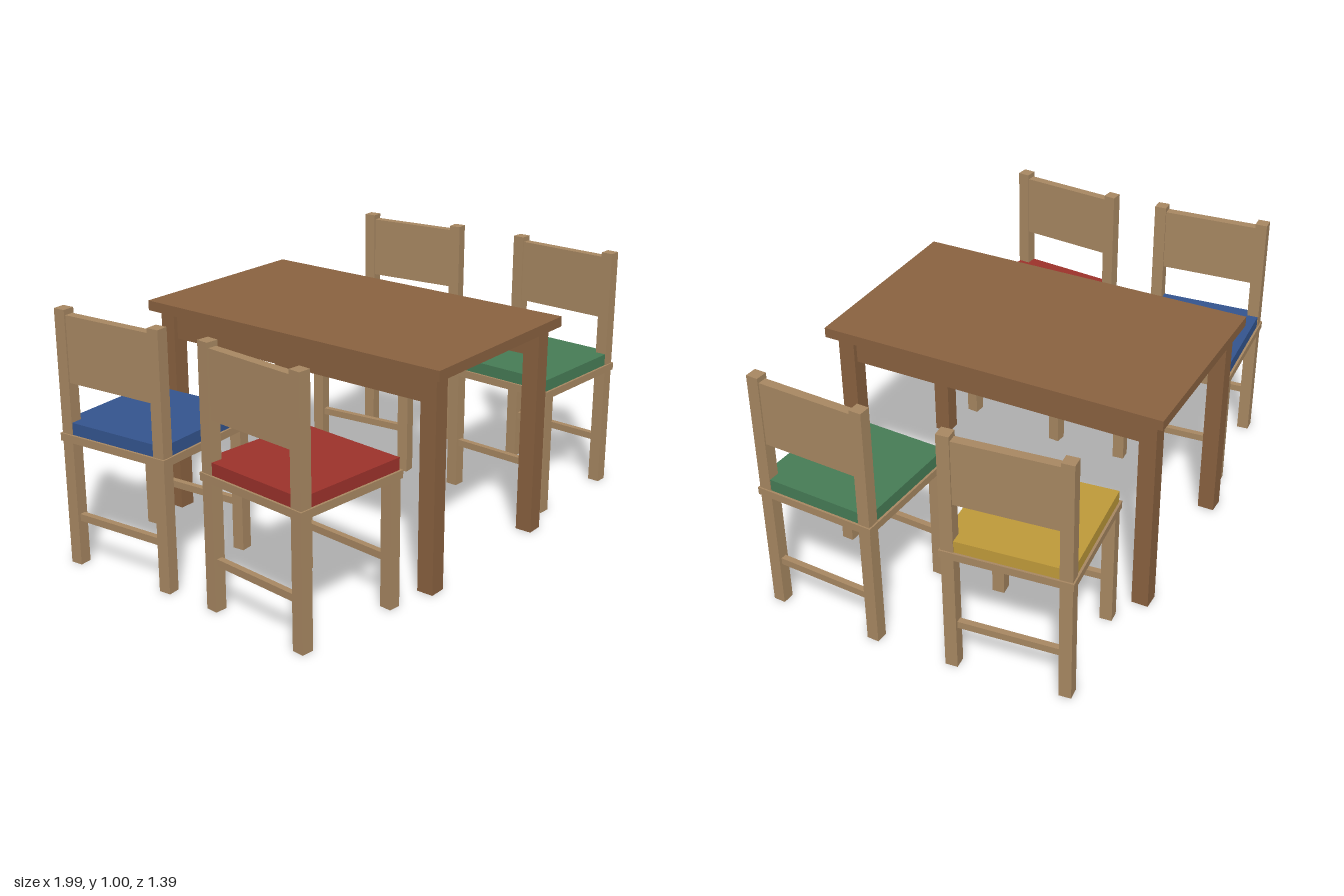
import * as THREE from 'three';

const mat = (name, color) => {
  const m = new THREE.MeshStandardMaterial({ color });
  m.name = name;
  return m;
};

// Box given by its size, centre x and z, and bottom and top heights
function box(parent, name, material, w, d, y0, y1, x = 0, z = 0) {
  const mesh = new THREE.Mesh(new THREE.BoxGeometry(w, y1 - y0, d), material);
  mesh.name = name;
  mesh.position.set(x, (y0 + y1) / 2, z);
  parent.add(mesh);
}

function createTable(wood) {
  const table = new THREE.Group();
  table.name = 'table';
  box(table, 'tableTop', wood, 0.81, 1.39, 0.835, 0.875);
  for (const sx of [-1, 1]) {
    for (const sz of [-1, 1]) {
      box(table, 'tableLeg', wood, 0.067, 0.067, 0, 0.835, sx * 0.337, sz * 0.627);
    }
    // Long side rail, a little below the top
    box(table, 'tableRail', wood, 0.03, 1.2, 0.725, 0.815, sx * 0.337);
  }
  return table;
}

// Chair facing local +x, backrest at -x
function createChair(wood, fabric) {
  const chair = new THREE.Group();
  const leg = 0.048, off = 0.217, span = 2 * off - leg;
  for (const sz of [-1, 1]) {
    box(chair, 'backPost', wood, leg, leg, 0, 1, -off, sz * off);
    box(chair, 'frontLeg', wood, leg, leg, 0, 0.5, off, sz * off);
  }
  for (const sx of [-1, 1]) {
    box(chair, 'rung', wood, 0.024, span, 0.177, 0.205, sx * off);
  }
  box(chair, 'seat', wood, 0.494, 0.494, 0.495, 0.525);
  box(chair, 'cushion', fabric, 0.476, 0.476, 0.525, 0.572);
  box(chair, 'backrest', wood, 0.036, span, 0.725, 0.98, -off);
  return chair;
}

export function createModel() {
  const model = new THREE.Group();
  model.name = 'diningSet';
  const darkWood = mat('dark wood', 0x8a6240);
  const lightWood = mat('light wood', 0xa88862);

  const table = createTable(darkWood);
  table.position.x = -0.008;
  model.add(table);

  // Cushion colour, position and turn of each chair
  const chairs = [
    ['red', 0x9c322b, -0.729, 0.347, -5.5],
    ['blue', 0x34558f, -0.731, -0.353, 4.4],
    ['green', 0x477c56, 0.735, 0.369, 177],
    ['yellow', 0xbf9a3a, 0.712, -0.352, 185.7],
  ];
  for (const [name, color, x, z, degrees] of chairs) {
    const chair = createChair(lightWood, mat(`${name} fabric`, color));
    chair.name = `${name}Chair`;
    chair.position.set(x, 0, z);
    chair.rotation.y = THREE.MathUtils.degToRad(degrees);
    model.add(chair);
  }
  return model;
}
